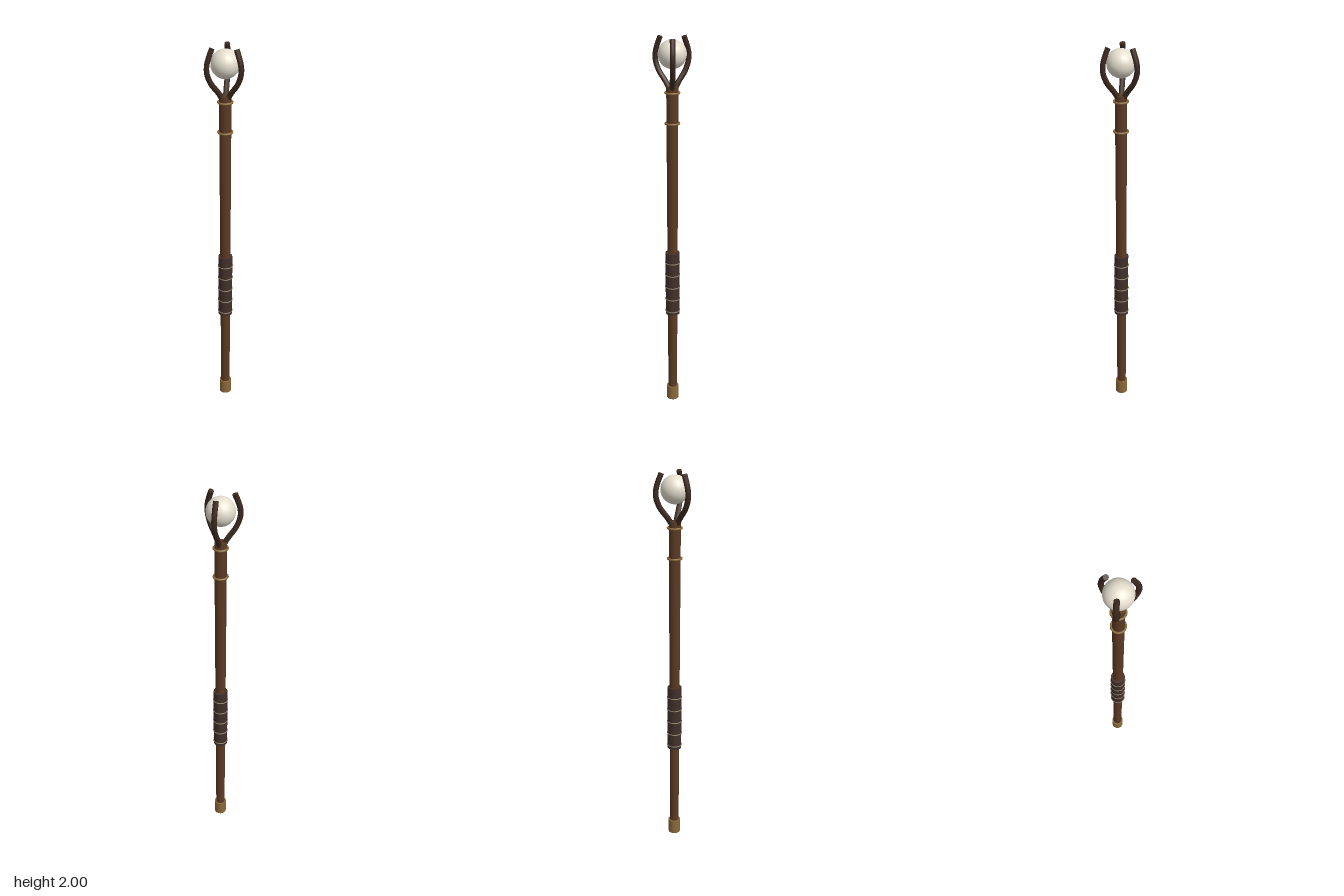
import * as THREE from 'three';

const mat = (color) => new THREE.MeshStandardMaterial({ color });

export function createModel() {
  const staff = new THREE.Group();
  staff.name = 'staff';
  staff.position.set(-0.001, 0, 0.019); // three-prong head is offset about the shaft axis

  const wood = mat(0x5c3a24);
  const darkWood = mat(0x3b291e);
  const leather = mat(0x42302a);
  const brass = mat(0x8c6a3a);
  const cord = mat(0x82755a);
  const pearl = mat(0xe6dfd0);

  const add = (name, geometry, material, y = 0) => {
    const mesh = new THREE.Mesh(geometry, material);
    mesh.name = name;
    mesh.position.y = y;
    staff.add(mesh);
    return mesh;
  };
  // Upright cylinder between two heights
  const rod = (name, y0, y1, r0, r1, material) =>
    add(name, new THREE.CylinderGeometry(r1, r0, y1 - y0, 16), material, (y0 + y1) / 2);
  // Horizontal ring around the shaft
  const ring = (name, y, radius, tube, material) =>
    add(name, new THREE.TorusGeometry(radius, tube, 8, 24).rotateX(Math.PI / 2), material, y);

  // Shaft, foot cap and grip
  rod('shaft', 0.02, 1.762, 0.024, 0.03, wood);
  rod('footCap', 0, 0.077, 0.032, 0.032, brass);
  rod('grip', 0.53, 0.885, 0.037, 0.037, leather);

  // Cord windings on the grip
  for (let i = 0; i < 5; i++) ring('gripCord', 0.548 + i * 0.07, 0.037, 0.003, cord);

  // Collars below the head
  for (const y of [1.578, 1.73]) ring('collar', y, 0.034, 0.0055, brass);

  // Three curved prongs holding the orb, one to the back and two to the front
  const curve = new THREE.CatmullRomCurve3([
    [0.014, 1.745], [0.037, 1.782], [0.073, 1.83], [0.092, 1.88],
    [0.092, 1.92], [0.081, 1.958], [0.066, 1.995],
  ].map(([r, y]) => new THREE.Vector3(0, y, -r)));
  const tube = new THREE.TubeGeometry(curve, 24, 0.0135, 8);
  // Flat lids at both ends of a prong
  const lid = (t, sign) => {
    const geometry = new THREE.CircleGeometry(0.0135, 8);
    const direction = curve.getTangentAt(t).multiplyScalar(sign);
    geometry.applyQuaternion(new THREE.Quaternion().setFromUnitVectors(new THREE.Vector3(0, 0, 1), direction));
    const p = curve.getPointAt(t);
    return geometry.translate(p.x, p.y, p.z);
  };
  const lids = [lid(0, -1), lid(1, 1)];
  for (let i = 0; i < 3; i++) {
    const prong = new THREE.Group();
    prong.name = 'prong';
    for (const g of [tube, ...lids]) prong.add(new THREE.Mesh(g, darkWood));
    prong.rotation.y = (i * Math.PI * 2) / 3;
    staff.add(prong);
  }

  // Orb
  add('orb', new THREE.SphereGeometry(0.07, 24, 16), pearl, 1.916);

  const model = new THREE.Group();
  model.name = 'model';
  model.add(staff);
  return model;
}
